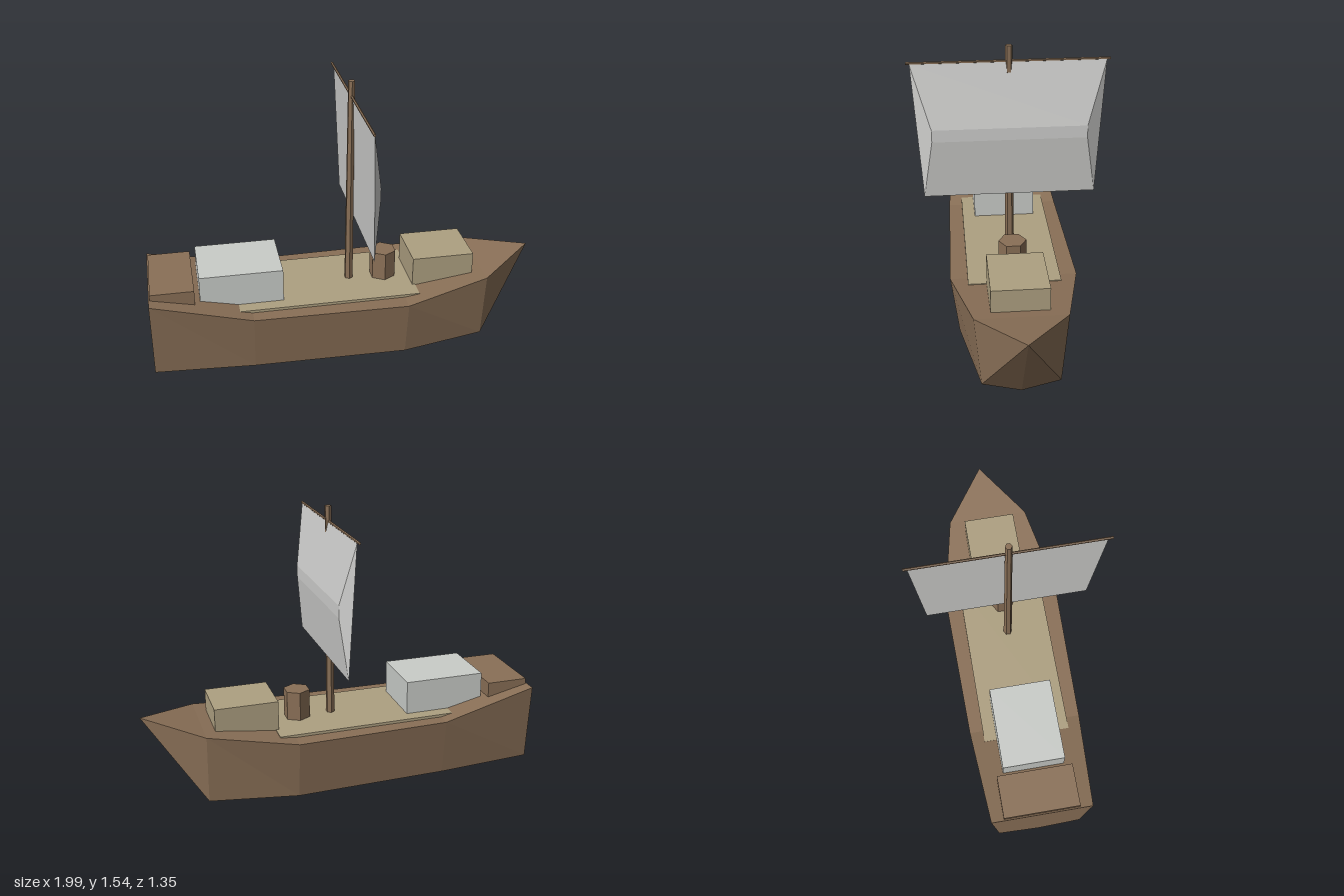
import * as THREE from 'three';

const material = (name, color) => {
  const m = new THREE.MeshStandardMaterial({ color });
  m.name = name;
  return m;
};

// Flat-shaded geometry from corner points and an index list
function facets(points, index) {
  const indexed = new THREE.BufferGeometry();
  indexed.setAttribute('position', new THREE.Float32BufferAttribute(points.flat(), 3));
  indexed.setIndex(index);
  const g = indexed.toNonIndexed();
  g.computeVertexNormals();
  return g;
}

// Hull: five-point rings (rail, chine, keel, chine, rail) closing on a bow point
function hullGeometry() {
  // [x, rail half width, rail height, chine half width]
  const stations = [
    [-0.965, 0.278, 0.49, 0.236],
    [-0.43, 0.314, 0.37, 0.272],
    [0.40, 0.33, 0.37, 0.288],
    [0.865, 0.23, 0.432, 0.197],
  ];
  const points = [], index = [];
  for (const [x, w, h, c] of stations) {
    points.push([x, h, w], [x, 0.05, c], [x, 0, 0], [x, 0.05, -c], [x, h, -w]);
  }
  const bow = points.push([1.172, 0.49, 0]) - 1;
  const last = stations.length - 1;
  for (let i = 0; i <= last; i++) {
    for (let j = 0; j < 5; j++) {
      const a = i * 5 + j, b = i * 5 + (j + 1) % 5;
      if (i === last) index.push(a, b, bow);
      else index.push(a, b, b + 5, a, b + 5, a + 5);
    }
  }
  index.push(0, 2, 1, 0, 3, 2, 0, 4, 3); // transom
  return facets(points, index);
}

// Sail: flat back, front bulging forward in three panels
function sailGeometry() {
  // [forward offset, height, half width]
  const rows = [
    [0.143, 1.455, 0.494],
    [0.206, 1.125, 0.397],
    [0.206, 1.06, 0.397],
    [0.171, 0.74, 0.446],
  ];
  const points = rows.flatMap(([x, y, w]) => [[x, y, w], [x, y, -w]]);
  const index = [];
  for (let i = 0; i < 3; i++) {
    const a = i * 2;
    index.push(a, a + 2, a + 3, a, a + 3, a + 1);
  }
  index.push(6, 4, 2, 6, 2, 0); // left and right cheeks
  index.push(7, 3, 5, 7, 1, 3);
  index.push(0, 1, 7, 0, 7, 6); // back
  return facets(points, index);
}

export function createModel() {
  const wood = material('brown wood', 0x8a7057);
  const planks = material('tan planks', 0xaea081);
  const canvas = material('sail canvas', 0xcfcfcd);
  const cover = material('pale cargo cover', 0xcacdc9);
  wood.flatShading = true;

  const boat = new THREE.Group();
  boat.name = 'sailingBoat';

  const add = (name, geometry, mat, x = 0, y = 0, z = 0) => {
    const mesh = new THREE.Mesh(geometry, mat);
    mesh.name = name;
    mesh.position.set(x, y, z);
    boat.add(mesh);
    return mesh;
  };
  // Box placed by its bottom and top heights
  const box = (name, mat, x, bottom, top, length, width) =>
    add(name, new THREE.BoxGeometry(length, top - bottom, width), mat, x, (bottom + top) / 2);

  add('hull', hullGeometry(), wood);
  box('deck', planks, -0.007, 0.35, 0.385, 0.978, 0.48);

  // Cargo and stern bench
  box('sternBench', wood, -0.842, 0.40, 0.52, 0.23, 0.417);
  box('cargoCover', cover, -0.476, 0.36, 0.57, 0.445, 0.34);
  box('bowCrate', planks, 0.635, 0.36, 0.545, 0.34, 0.29);
  add('barrel', new THREE.CylinderGeometry(0.073, 0.073, 0.185, 6), wood, 0.328, 0.4525);

  // Rigging
  add('mast', new THREE.CylinderGeometry(0.018, 0.024, 1.18, 6), wood, 0.137, 0.95);
  const yard = add('yard', new THREE.CylinderGeometry(0.007, 0.007, 1.026, 6), wood, 0.137, 1.459);
  yard.rotation.x = Math.PI / 2;
  add('sail', sailGeometry(), canvas);

  // Boat lies at an angle, bow towards front left
  boat.rotation.y = -Math.PI / 6;
  boat.position.set(-0.025, 0, 0.043);

  const model = new THREE.Group();
  model.name = 'model';
  model.add(boat);
  return model;
}
